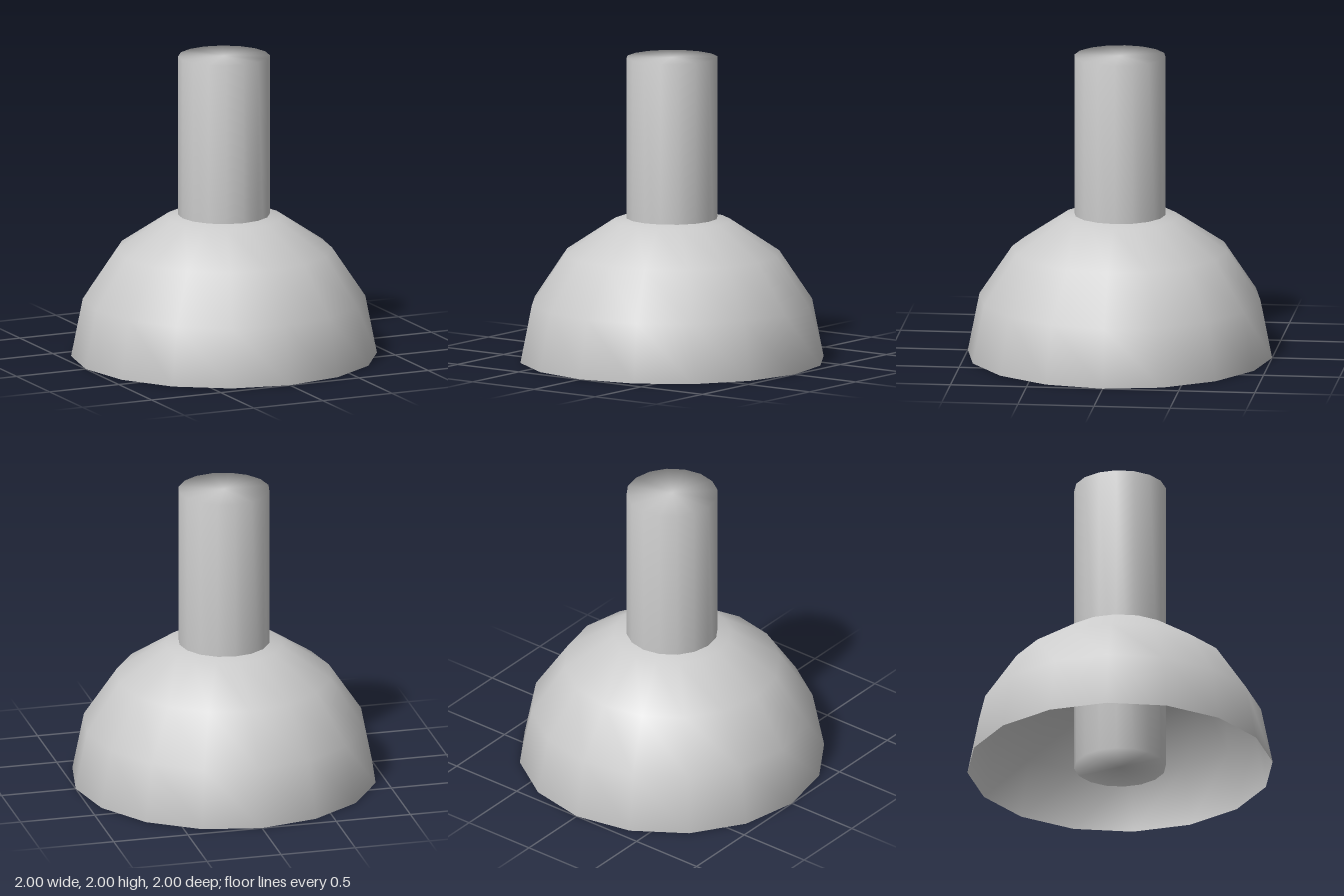
import * as THREE from 'three';

const SIDES = 16;

export function createModel() {
  const model = new THREE.Group();
  model.name = 'domeWithPost';

  // Open half-sphere shell, visible from inside and outside
  const dome = new THREE.Mesh(
    new THREE.SphereGeometry(1, SIDES, 4, 0, Math.PI * 2, 0, Math.PI / 2),
    new THREE.MeshStandardMaterial({ color: 0xcccccc, side: THREE.DoubleSide })
  );
  dome.name = 'dome';

  // Closed post through the dome, from the ground to the top, smooth across its rims
  const radius = 0.3;
  const profile = [[0, 0], [radius, 0], [radius, 2], [0, 2]]
    .map(([x, y]) => new THREE.Vector2(x, y));
  const post = new THREE.Mesh(
    new THREE.LatheGeometry(profile, SIDES),
    new THREE.MeshStandardMaterial({ color: 0xcccccc })
  );
  post.name = 'post';

  model.add(dome, post);
  return model;
}
